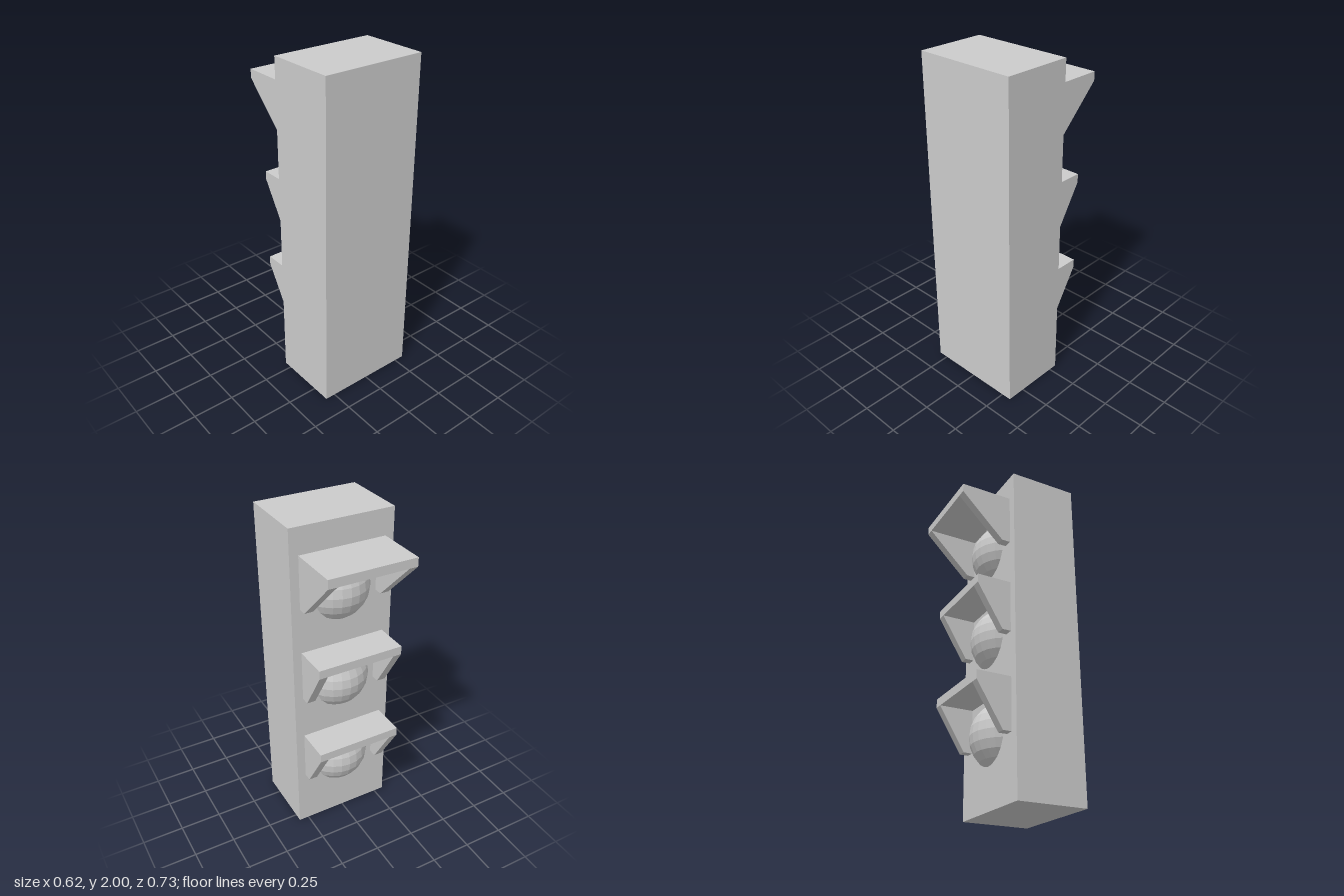
import * as THREE from 'three';

const BACK = -0.053; // z of the face that carries the lamps
const WALL = 0.052;  // hood thickness

export function createModel() {
  const model = new THREE.Group();
  const material = new THREE.MeshStandardMaterial({ color: 0xcccccc, flatShading: true });

  const add = (parent, name, geometry, x, y, z) => {
    const mesh = new THREE.Mesh(geometry, material);
    mesh.name = name;
    mesh.position.set(x, y, z);
    parent.add(mesh);
    return mesh;
  };

  // Housing
  add(model, 'housing', new THREE.BoxGeometry(0.624, 2, 0.418), 0, 1, BACK + 0.209);

  // Each signal: a domed lamp under a three-sided hood; the top hood is deeper
  const signals = [
    { name: 'topSignal', y: 1.535, depth: 0.312 },
    { name: 'middleSignal', y: 0.952, depth: 0.208 },
    { name: 'bottomSignal', y: 0.37, depth: 0.208 },
  ];
  const lampGeometry = new THREE.SphereGeometry(0.204, 24, 12);

  for (const { name, y, depth } of signals) {
    const signal = new THREE.Group();
    signal.name = name;
    signal.position.set(0, y, BACK);
    model.add(signal);

    // Lamp, sunk partly into the housing
    add(signal, 'lamp', lampGeometry, 0, 0.05, 0.104);

    // Hood roof
    add(signal, 'hoodRoof', new THREE.BoxGeometry(0.52, WALL, depth), 0, 0.31 - WALL / 2, -depth / 2);

    // Hood cheeks, tapering downwards
    const profile = new THREE.Shape([
      new THREE.Vector2(0, 0),
      new THREE.Vector2(WALL, 0),
      new THREE.Vector2(depth, 0.31 - WALL),
      new THREE.Vector2(0, 0.31 - WALL),
    ]);
    const cheek = new THREE.ExtrudeGeometry(profile, { depth: WALL, bevelEnabled: false });
    cheek.rotateY(Math.PI / 2); // profile runs outwards along -z, thickness along +x
    add(signal, 'leftHoodCheek', cheek, 0.26 - WALL, 0, 0);
    add(signal, 'rightHoodCheek', cheek, -0.26, 0, 0);
  }

  return model;
}
